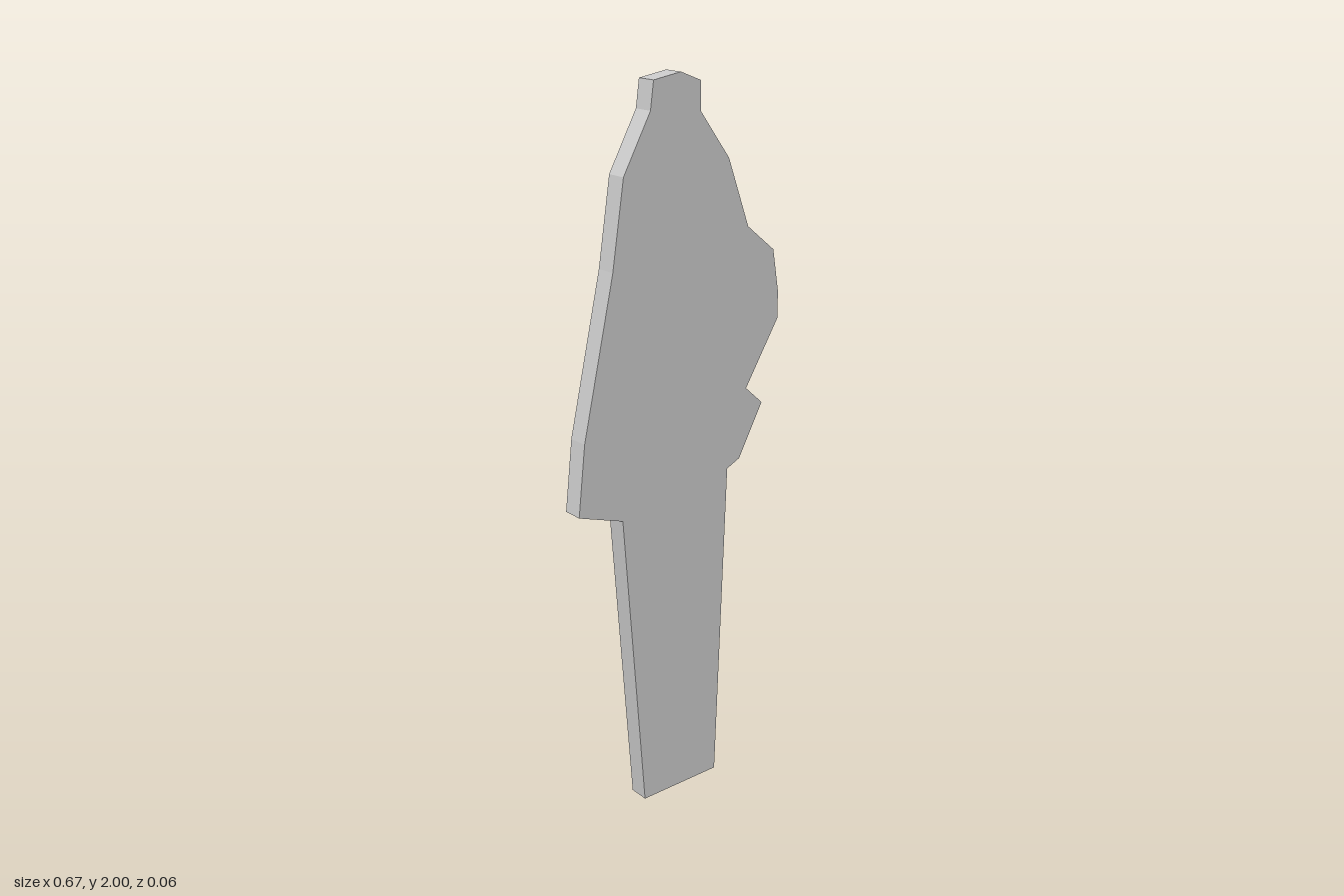
import * as THREE from 'three';

const THICKNESS = 0.057;

// Silhouette corners, counter-clockwise from the bottom left of the base
const OUTLINE = [
  [-0.131, 0], [0.126, 0],                                        // foot of the base
  [0.162, 0.93], [0.205, 0.95], [0.284, 1.095], [0.226, 1.147],   // lower notch
  [0.336, 1.325], [0.335, 1.4], [0.315, 1.516], [0.224, 1.59],    // side bulge
  [0.155, 1.775], [0.061, 1.9], [0.061, 1.975],                   // shoulder and neck
  [-0.003, 2], [-0.088, 1.987], [-0.098, 1.915],                  // top
  [-0.182, 1.765], [-0.218, 1.535], [-0.314, 1.11],               // long sloping side
  [-0.336, 0.916], [-0.197, 0.87],                                // lower hem
];

export function createModel() {
  const group = new THREE.Group();
  group.name = 'standingCutout';

  // Flat plate cut to the silhouette, centred on z = 0
  const shape = new THREE.Shape(OUTLINE.map(([x, y]) => new THREE.Vector2(x, y)));
  const geometry = new THREE.ExtrudeGeometry(shape, { depth: THICKNESS, bevelEnabled: false });
  geometry.translate(0, 0, -THICKNESS / 2);

  const material = new THREE.MeshStandardMaterial({ color: 0xcccccc, flatShading: true });
  const plate = new THREE.Mesh(geometry, material);
  plate.name = 'silhouettePlate';
  group.add(plate);
  return group;
}
